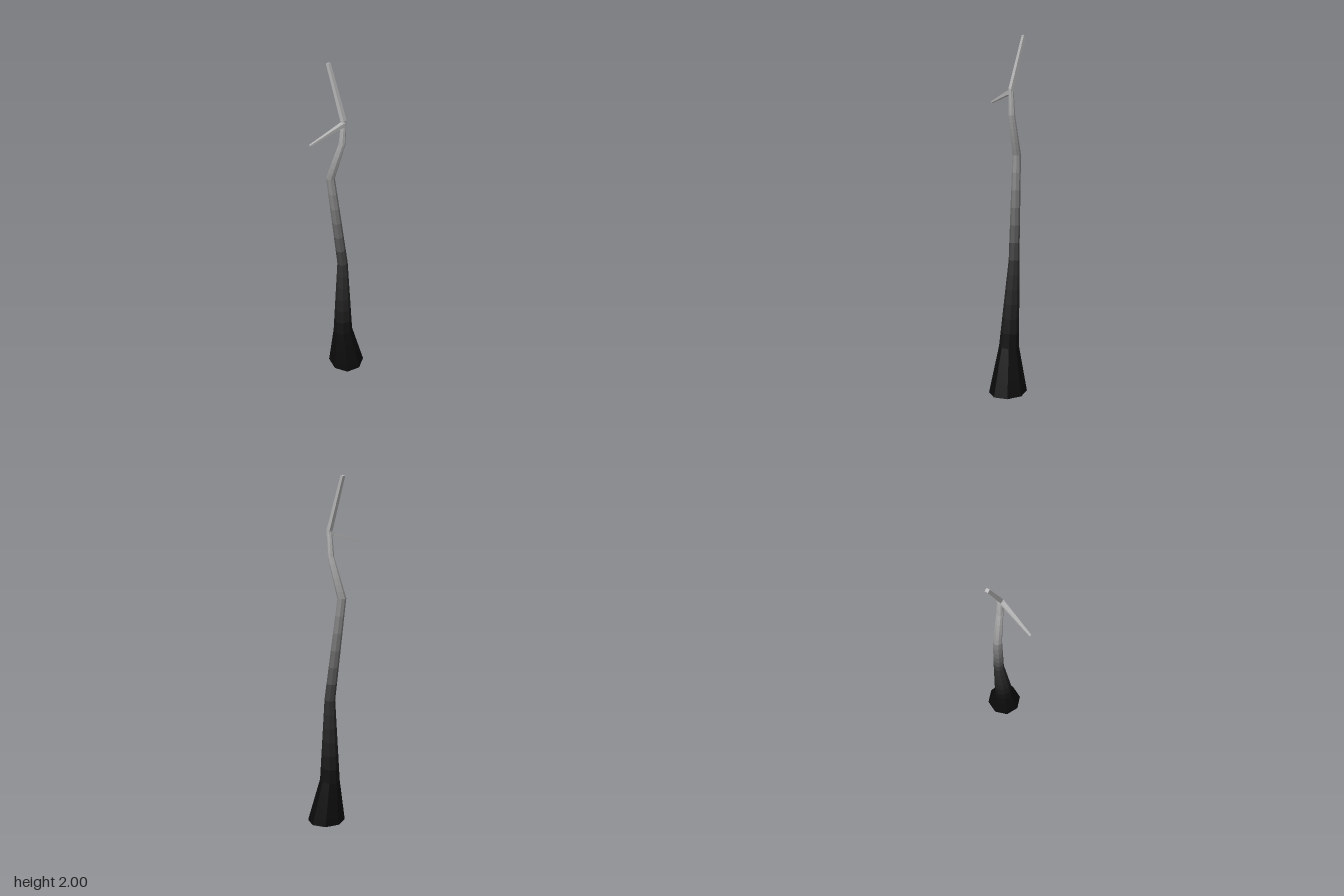
import * as THREE from 'three';

// Closed ring of points around a centre, facing along dir
function ring(center, dir, radius, sides, turn) {
  const q = new THREE.Quaternion().setFromUnitVectors(new THREE.Vector3(0, 1, 0), dir);
  return Array.from({ length: sides }, (_, i) => {
    const a = turn + (i / sides) * Math.PI * 2;
    return new THREE.Vector3(Math.cos(a) * radius, 0, Math.sin(a) * radius).applyQuaternion(q).add(center);
  });
}

// One ring per station [x, y, z, radius], tilted halfway between neighbouring segments
function ringsAlong(stations, sides, turn, startDir) {
  const pts = stations.map(([x, y, z]) => new THREE.Vector3(x, y, z));
  return pts.map((p, i) => {
    const dir = new THREE.Vector3();
    if (i === 0 && startDir) dir.copy(startDir);
    else {
      if (i > 0) dir.add(p.clone().sub(pts[i - 1]).normalize());
      if (i < pts.length - 1) dir.add(pts[i + 1].clone().sub(p).normalize());
    }
    return ring(p, dir.normalize(), stations[i][3], sides, turn);
  });
}

// Faceted skin between two rings, with optional end caps
function skin(lower, upper, capLower, capUpper) {
  const v = [];
  const tri = (...corners) => corners.forEach((p) => v.push(p.x, p.y, p.z));
  const n = lower.length;
  for (let i = 0; i < n; i++) {
    const j = (i + 1) % n;
    tri(lower[i], upper[i], upper[j]);
    tri(lower[i], upper[j], lower[j]);
    if (i > 0 && i < n - 1) {
      if (capLower) tri(lower[0], lower[i], lower[j]);
      if (capUpper) tri(upper[0], upper[j], upper[i]);
    }
  }
  const g = new THREE.BufferGeometry();
  g.setAttribute('position', new THREE.Float32BufferAttribute(v, 3));
  g.computeVertexNormals();
  return g;
}

// A limb made of bands whose grey shade fades from station to station
function limb(name, stations, shades, sides, turn, startDir) {
  const group = new THREE.Group();
  group.name = name;
  const rings = ringsAlong(stations, sides, turn, startDir);
  const last = rings.length - 2;
  for (let s = 0; s <= last; s++) {
    const bands = shades[s] === shades[s + 1] ? 1 : 6;
    const at = (t) => rings[s].map((p, i) => p.clone().lerp(rings[s + 1][i], t));
    for (let b = 0; b < bands; b++) {
      const shade = THREE.MathUtils.lerp(shades[s], shades[s + 1], (b + 0.5) / bands);
      const material = new THREE.MeshStandardMaterial({ flatShading: true });
      material.color.setRGB(shade, shade, shade);
      const geometry = skin(at(b / bands), at((b + 1) / bands),
        s === 0 && b === 0, s === last && b === bands - 1);
      const mesh = new THREE.Mesh(geometry, material);
      mesh.name = `${name}Band`;
      group.add(mesh);
    }
  }
  return group;
}

export function createModel() {
  const model = new THREE.Group();
  model.name = 'bareTree';

  // Flared root and bending trunk
  model.add(limb('trunk', [
    [0.012, 0.011, -0.06, 0.108],
    [-0.004, 0.27, -0.045, 0.057],
    [-0.028, 0.77, -0.058, 0.03],
    [-0.074, 1.35, -0.009, 0.024],
    [-0.02, 1.57, -0.045, 0.018],
    [-0.013, 1.7, -0.049, 0.014],
  ], [0.003, 0.004, 0.03, 0.28, 0.4, 0.45], 8, -0.21, new THREE.Vector3(0.07, 1, 0)));

  // Leaning top shoot
  model.add(limb('topShoot', [
    [-0.013, 1.68, -0.049, 0.015],
    [-0.014, 1.71, -0.049, 0.016],
    [-0.108, 1.996, -0.025, 0.012],
  ], [0.45, 0.45, 0.45], 4, 0.55));

  // Thin twig reaching forward
  model.add(limb('sideTwig', [
    [-0.011, 1.692, -0.05, 0.018],
    [-0.01, 1.688, -0.025, 0.015],
    [-0.014, 1.637, 0.162, 0.007],
  ], [0.45, 0.45, 0.45], 4, Math.PI / 4));

  return model;
}
